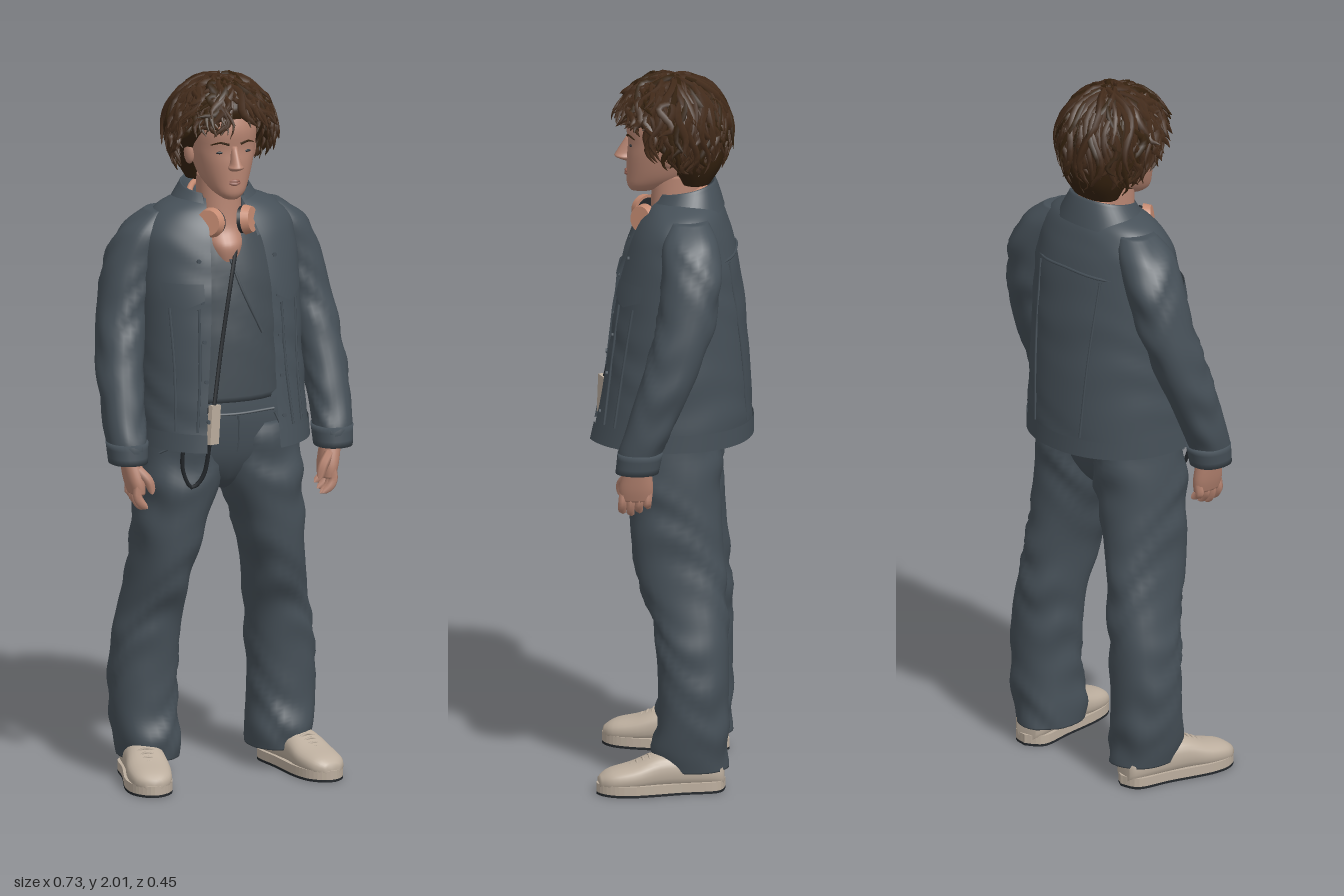
import * as THREE from 'three';

const mat = (name, color, side = THREE.FrontSide) => {
  const m = new THREE.MeshStandardMaterial({ color, side });
  m.name = name;
  return m;
};
const denim = mat('denim', 0x465058, THREE.DoubleSide), shirtGrey = mat('shirt grey', 0x434c53);
const dark = mat('dark rubber', 0x24282c), skin = mat('skin', 0xb78572), lip = mat('lip', 0x9c6658);
const hairLight = mat('hair brown', 0x432b1a), hairDark = mat('hair shadow brown', 0x35220f);
const cream = mat('canvas cream', 0xbcae9e), peach = mat('headphone peach', 0xc58b72);

const mesh = (name, geo, m, parent) => {
  const o = new THREE.Mesh(geo, m);
  o.name = name;
  parent.add(o);
  return o;
};
const V = (a) => new THREE.Vector3(...a);
const pw = (s, e) => Math.sign(s) * Math.abs(s) ** e;
let seed = 7;
const rnd = () => (seed = (seed * 16807) % 2147483647) / 2147483647;

// Smooth interpolation through rows of numbers, t from 0 to 1
function rowAt(rows, t) {
  const n = rows.length, s = t * (n - 1), i = Math.min(Math.floor(s), n - 2), f = s - i;
  const [a, b, c, d] = [rows[Math.max(i - 1, 0)], rows[i], rows[i + 1], rows[Math.min(i + 2, n - 1)]];
  return b.map((q, k) => q + 0.5 * f * (c[k] - a[k] + f * (2 * a[k] - 5 * q + 4 * c[k] - d[k] + f * (3 * (q - c[k]) + d[k] - a[k]))));
}

// Surface from a rule point(u, v); wrap joins the last column to the first
function grid(nu, nv, point, wrap) {
  const pos = [], idx = [], cols = wrap ? nu : nu + 1;
  for (let j = 0; j <= nv; j++) for (let i = 0; i < cols; i++) pos.push(...point(i / nu, j / nv, j));
  for (let j = 0; j < nv; j++) for (let i = 0; i < nu; i++) {
    const a = j * cols + i, b = j * cols + (i + 1) % cols;
    idx.push(a, b, b + cols, a, b + cols, a + cols);
  }
  const g = new THREE.BufferGeometry();
  g.setAttribute('position', new THREE.Float32BufferAttribute(pos, 3));
  g.setIndex(idx);
  g.computeVertexNormals();
  return g;
}

// Slanting cloth folds that come and go along a limb
const fold = (a, y, amp) => 1 + amp * Math.sin(y * 52 + 2 * a + 2 * Math.sin(3 * a + y * 9)) * (0.5 + 0.5 * Math.sin(y * 15 + a * 2));

// Closed body from rising rows [x, y, z, rx, rz]
const loft = (rows, { nu = 28, nv = 30, p = 2.2, amp = 0 } = {}) => grid(nu, nv, (u, v, j) => {
  const [x, y, z, rx, rz] = rowAt(rows, Math.min(Math.max((j - 1) / (nv - 2), 0), 1));
  const a = u * Math.PI * 2, k = j === 0 || j === nv ? 0 : fold(a, y, amp);
  return [x + k * rx * pw(Math.sin(a), 2 / p), y, z + k * rz * pw(Math.cos(a), 2 / p)];
}, true);

// Tube along points with a thickness rule
function strand(points, r, taper = () => 1, n = 10, sides = 6) {
  const curve = new THREE.CatmullRomCurve3(points.map(V));
  const g = new THREE.TubeGeometry(curve, n, r, sides), pos = g.attributes.position, v = new THREE.Vector3();
  for (let i = 0; i < pos.count; i++) {
    const t = Math.floor(i / (sides + 1)) / n, c = curve.getPointAt(t);
    v.fromBufferAttribute(pos, i).sub(c).multiplyScalar(taper(t)).add(c);
    pos.setXYZ(i, v.x, v.y, v.z);
  }
  return g;
}
const tip = (t) => Math.sqrt(Math.max(0.02, 1 - t ** 5));

// Open-fronted garment from rows [y, half width, back z, front z, left gap, right gap, front drop]
const P = 2.15;
const shell = (rows, nu, nv, amp = 0) => grid(nu, nv, (u, v) => {
  const [y, w, zb, zf, gl, gr, drop] = rowAt(rows, v);
  const edge = (g) => Math.asin(Math.min(1, g / w) ** (P / 2));
  const a = THREE.MathUtils.lerp(edge(gl), Math.PI * 2 - edge(gr), u), k = fold(a, y, amp);
  return [k * w * pw(Math.sin(a), 2 / P), y - drop * (Math.cos(a) + 1) / 2,
    (zf + zb) / 2 + k * (zf - zb) / 2 * pw(Math.cos(a), 2 / P)];
});
const jacketRows = [
  [0.98, 0.243, -0.217, 0.24, 0.1, 0.115, 0], [1.1, 0.238, -0.215, 0.215, 0.1, 0.105, 0],
  [1.25, 0.232, -0.205, 0.192, 0.1, 0.09, 0], [1.4, 0.23, -0.19, 0.168, 0.1, 0.08, 0],
  [1.52, 0.225, -0.168, 0.132, 0.09, 0.07, 0], [1.58, 0.21, -0.15, 0.105, 0.075, 0.065, 0],
  [1.625, 0.17, -0.132, 0.073, 0.06, 0.06, 0], [1.655, 0.1, -0.107, 0.04, 0.05, 0.05, 0]];

// Point on the jacket's front (side 1) or back (side -1)
function onJacket(x, y, side, off = 0.002) {
  let lo = 0, hi = 1;
  for (let i = 0; i < 24; i++) {
    const m = (lo + hi) / 2;
    if (rowAt(jacketRows, m)[0] < y) lo = m; else hi = m;
  }
  const [, w, zb, zf] = rowAt(jacketRows, lo);
  return [x, y, (zf + zb) / 2 + side * ((zf - zb) / 2 * (1 - Math.min(1, Math.abs(x) / w) ** P) ** (1 / P) + off)];
}
const seam = (pts, side, parent) => mesh('seam', strand(pts.map(([x, y]) => onJacket(x, y, side)), 0.004, undefined, 16, 5), denim, parent);

function buildJacket(root) {
  const g = new THREE.Group();
  g.name = 'jacket';
  root.add(g);
  mesh('jacketBody', shell(jacketRows, 80, 56, 0.01), denim, g);
  mesh('hemBand', shell([[0.975, 0.247, -0.222, 0.246, 0.1, 0.115, 0], [1.025, 0.245, -0.221, 0.235, 0.1, 0.112, 0]], 60, 2), denim, g);
  mesh('collar', shell([[1.615, 0.085, -0.085, 0.06, 0.05, 0.05, 0], [1.695, 0.093, -0.11, 0.045, 0.06, 0.06, 0.03],
    [1.685, 0.108, -0.122, 0.06, 0.062, 0.062, 0.045], [1.625, 0.155, -0.14, 0.12, 0.075, 0.075, 0.075]], 40, 12), denim, g);
  for (const s of [1, -1]) {
    const gap = s > 0 ? 0.1 : 0.085, x0 = gap + 0.015, x1 = 0.205;
    // Chest pocket flap with a pointed lower edge
    mesh('pocketFlap', grid(10, 4, (u, v) => onJacket(s * (x0 + (x1 - x0) * u),
      1.44 - (1 - v) * (0.045 + 0.025 * (1 - Math.abs(2 * u - 1))), 1, 0.009)), denim, g);
    seam([[s * (x0 + 0.015), 1.37], [s * (x0 + 0.02), 1.2], [s * (x0 + 0.035), 1.03]], 1, g);
    seam([[s * (x1 - 0.02), 1.37], [s * (x1 - 0.025), 1.2], [s * (x1 - 0.02), 1.03]], 1, g);
    seam([[s * 0.12, 1.49], [s * 0.105, 1.25], [s * 0.09, 1.03]], -1, g);
    for (let i = 0; i < 5; i++) {
      const b = mesh('button', new THREE.CylinderGeometry(0.006, 0.006, 0.006, 10).rotateX(Math.PI / 2), denim, g);
      b.position.set(...onJacket(s * (gap + 0.02), 1.5 - i * 0.11, 1, 0.003));
    }
  }
  seam([[-0.2, 1.49], [-0.1, 1.5], [0, 1.505], [0.1, 1.5], [0.2, 1.49]], -1, g);
}

// Sleeve, hand, trouser leg and shoe of the left side
function buildSide(name) {
  const g = new THREE.Group();
  g.name = name;
  mesh('sleeve', loft([[0.302, 0.95, 0.09, 0.05, 0.055], [0.303, 1.0, 0.083, 0.055, 0.06], [0.303, 1.1, 0.045, 0.059, 0.068],
    [0.293, 1.22, 0, 0.065, 0.076], [0.269, 1.35, -0.04, 0.07, 0.08], [0.238, 1.47, -0.056, 0.074, 0.083],
    [0.198, 1.56, -0.052, 0.071, 0.078], [0.15, 1.618, -0.048, 0.045, 0.05]], { nv: 54, amp: 0.065 }), denim, g);
  mesh('cuff', loft([[0.302, 0.937, 0.093, 0.053, 0.06], [0.302, 0.995, 0.084, 0.058, 0.063]], { nv: 5 }), denim, g);
  mesh('palm', loft([[0.28, 0.85, 0.098, 0.021, 0.044], [0.286, 0.89, 0.096, 0.027, 0.047], [0.298, 0.96, 0.09, 0.028, 0.034]], { nv: 12 }), skin, g);
  for (let i = 0; i < 4; i++) {
    const z = 0.062 + i * 0.023, d = [0.02, 0.008, 0, 0.006][i];
    mesh('finger', strand([[0.286, 0.875, z], [0.288, 0.845, z + 0.003], [0.278, 0.82 + d, z + 0.004], [0.258, 0.803 + d, z]], 0.0135, tip), skin, g);
  }
  mesh('thumb', strand([[0.282, 0.92, 0.122], [0.258, 0.89, 0.138], [0.246, 0.85, 0.138]], 0.0145, tip), skin, g);
  mesh('trouserLeg', loft([[0.19, 0.06, -0.055, 0.085, 0.1], [0.195, 0.12, -0.052, 0.092, 0.106], [0.204, 0.22, -0.06, 0.094, 0.098],
    [0.198, 0.38, -0.058, 0.093, 0.1], [0.184, 0.48, -0.05, 0.088, 0.106], [0.163, 0.62, -0.022, 0.085, 0.125],
    [0.135, 0.78, -0.008, 0.105, 0.128], [0.117, 0.88, -0.005, 0.118, 0.13], [0.11, 1.02, -0.01, 0.108, 0.128]], { nv: 70, amp: 0.05 }), denim, g);
  mesh('pocketSeam', strand([[0.12, 1.05, 0.122], [0.15, 0.99, 0.122], [0.205, 0.95, 0.08]], 0.003), denim, g);
  const shoe = new THREE.Group();
  shoe.name = 'shoe';
  shoe.position.set(0.23, 0, 0.028);
  shoe.rotation.y = 0.19;
  g.add(shoe);
  // Upper built heel to toe, then laid flat
  mesh('shoeUpper', loft([[0, -0.172, -0.045, 0.03, 0.035], [0, -0.15, -0.055, 0.048, 0.045], [0, -0.06, -0.062, 0.053, 0.05],
    [0, 0.01, -0.062, 0.056, 0.05], [0, 0.08, -0.048, 0.062, 0.037], [0, 0.145, -0.039, 0.052, 0.029], [0, 0.176, -0.032, 0.022, 0.016]],
  { nv: 24, p: 2.4 }).rotateX(Math.PI / 2), cream, shoe);
  const outline = new THREE.Shape(new THREE.SplineCurve([[0, -0.18], [0.05, -0.15], [0.054, -0.05], [0.066, 0.08], [0.048, 0.15], [0, 0.182],
    [-0.048, 0.15], [-0.064, 0.08], [-0.056, -0.05], [-0.05, -0.15], [0, -0.18]].map(([x, z]) => new THREE.Vector2(x, -z))).getPoints(50));
  const slab = (h, y) => new THREE.ExtrudeGeometry(outline, { depth: h, bevelEnabled: false }).rotateX(-Math.PI / 2).translate(0, y, 0);
  mesh('midsole', slab(0.025, 0.007), cream, shoe);
  mesh('outsole', slab(0.007, 0), dark, shoe);
  for (let i = 0; i < 4; i++) {
    const z = 0.035 + i * 0.017, y = 0.106 - i * 0.0085;
    mesh('lace', strand([[-0.028, y - 0.01, z], [0, y, z], [0.028, y - 0.01, z]], 0.004), cream, shoe);
  }
  return g;
}

function buildHead(root) {
  const g = new THREE.Group();
  g.name = 'head';
  root.add(g);
  mesh('neck', loft([[0, 1.45, 0.02, 0.03, 0.06], [0, 1.52, 0.025, 0.052, 0.072], [0, 1.58, 0, 0.06, 0.068],
    [0, 1.72, -0.005, 0.06, 0.066]]), skin, g);
  mesh('face', loft([[0, 1.667, 0.09, 0.022, 0.03], [0, 1.685, 0.07, 0.045, 0.06], [0, 1.72, 0.037, 0.066, 0.094],
    [0, 1.77, 0.022, 0.082, 0.109], [0, 1.81, 0.017, 0.09, 0.111], [0, 1.87, 0.012, 0.094, 0.12], [0, 1.94, 0, 0.08, 0.105],
    [0, 1.97, 0, 0.04, 0.06]], { nv: 36 }), skin, g);
  mesh('nose', loft([[0, 1.752, 0.128, 0.014, 0.013], [0, 1.762, 0.137, 0.022, 0.027], [0, 1.775, 0.134, 0.015, 0.026],
    [0, 1.82, 0.12, 0.009, 0.012]], { nu: 16, nv: 14, p: 2 }), skin, g);
  for (const [y, r] of [[1.722, 0.005], [1.714, 0.006]])
    mesh('lip', strand([[-0.027, 1.718, 0.117], [0, y, 0.132], [0.027, 1.718, 0.117]], r, (t) => 0.3 + 0.7 * Math.sin(t * Math.PI)), lip, g);
  for (const s of [1, -1]) {
    const eye = mesh('eye', new THREE.SphereGeometry(1, 12, 8).scale(0.013, 0.004, 0.004), dark, g);
    eye.position.set(s * 0.038, 1.803, 0.118);
    mesh('eyebrow', strand([[s * 0.016, 1.826, 0.128], [s * 0.04, 1.832, 0.123], [s * 0.063, 1.824, 0.106]], 0.004, (t) => 1 - 0.6 * t), hairDark, g);
    const ear = mesh('ear', new THREE.SphereGeometry(1, 12, 10).scale(0.012, 0.033, 0.02), skin, g);
    ear.position.set(s * 0.092, 1.785, 0.012);
    ear.rotation.y = s * -0.3;
  }
  // Hair: a cap under many tapered wavy locks with flicked ends
  mesh('hairCap', loft([[0, 1.695, -0.06, 0.075, 0.045], [0, 1.76, -0.06, 0.108, 0.08], [0, 1.85, -0.024, 0.13, 0.124],
    [0, 1.93, 0, 0.114, 0.128], [0, 1.975, 0, 0.045, 0.055]]), hairDark, g);
  const cy = 1.845, ry = 0.138;
  for (let i = 0; i < 400; i++) {
    const th = rnd() * Math.PI * 2 - Math.PI, f = Math.cos(th);
    const endY = (f > 0.5 ? 1.838 : f > 0.1 ? 1.765 : f > -0.4 ? 1.715 : 1.705) + rnd() * 0.09;
    const p1 = Math.acos(Math.max(-1, (endY - cy) / ry)), p0 = p1 * 0.65 * rnd(), out = 0.9 + rnd() * 0.11;
    const ph = rnd() * 6, flick = 0.18 * rnd(), wave = 0.008 + 0.012 * rnd(), pts = [];
    for (let k = 0; k <= 7; k++) {
      const t = k / 7, p = p0 + (p1 - p0) * t, q = Math.cos(p);
      const r = (q > 0 ? Math.sin(p) : 1 - 0.3 * q * q) * (out + flick * t ** 3);
      const a = th + Math.sign(th) * 0.25 * t * Math.max(f, 0), w = wave * Math.sin(ph + t * 8);
      pts.push([0.145 * r * Math.sin(a) + w * Math.cos(a), cy + ry * q * out + 0.01 + 0.4 * w * Math.cos(ph),
        0.003 + 0.156 * r * Math.cos(a) - w * Math.sin(a)]);
    }
    mesh('hairLock', strand(pts, 0.009 + 0.008 * rnd(), (t) => Math.max(0.06, (0.55 + t) * (1 - t ** 2.2)), 12, 5), i % 4 ? hairLight : hairDark, g);
  }
}

export function createModel() {
  const root = new THREE.Group();
  root.name = 'standingFigure';
  buildJacket(root);
  const left = buildSide('leftLimbs'), right = buildSide('rightLimbs');
  right.scale.x = -1;
  root.add(left, right);
  buildHead(root);

  // Shirt and trouser top
  mesh('shirt', loft([[0, 1.09, -0.02, 0.178, 0.152], [0, 1.25, -0.02, 0.172, 0.145], [0, 1.42, -0.03, 0.17, 0.133],
    [0, 1.53, -0.035, 0.13, 0.11], [0, 1.59, -0.03, 0.07, 0.075]], { amp: 0.02 }), shirtGrey, root);
  mesh('shirtFold', strand([[0, 1.49, 0.092], [0.03, 1.4, 0.111], [0.085, 1.28, 0.118]], 0.004), shirtGrey, root);
  mesh('trouserTop', loft([[0, 0.825, -0.01, 0.02, 0.05], [0, 0.86, -0.008, 0.08, 0.085], [0, 0.93, -0.006, 0.2, 0.116],
    [0, 1.03, -0.01, 0.208, 0.136], [0, 1.12, -0.015, 0.175, 0.14]]), denim, root);
  mesh('waistSeam', strand([[-0.12, 1.06, 0.116], [0, 1.055, 0.126], [0.12, 1.06, 0.116]], 0.004), denim, root);
  mesh('flySeam', strand([[0.012, 1.05, 0.127], [0.015, 0.97, 0.117], [0.006, 0.91, 0.1]], 0.003), denim, root);

  // Headphones resting round the neck
  const phones = new THREE.Group();
  phones.name = 'headphones';
  root.add(phones);
  mesh('headband', strand([[-0.066, 1.61, 0.07], [-0.085, 1.645, 0], [-0.05, 1.675, -0.07], [0, 1.68, -0.085],
    [0.05, 1.675, -0.07], [0.085, 1.645, 0], [0.066, 1.61, 0.07]], 0.009, undefined, 32, 8), peach, phones);
  for (const s of [1, -1]) for (const [n, r, h, off, m] of [['earCup', 0.042, 0.022, 0, peach], ['earCushion', 0.038, 0.014, -0.016, dark]]) {
    const c = mesh(n, new THREE.CylinderGeometry(r * 0.85, r, h, 24).translate(0, off, 0).rotateX(Math.PI / 2), m, phones);
    c.position.set(s * 0.058, 1.597, 0.085);
    c.rotation.set(-0.2, s * 0.85, 0);
  }

  // Lanyard with a tag and a hanging cord
  mesh('lanyardStrap', strand([[0.02, 1.52, 0.085], [-0.01, 1.42, 0.12], [-0.05, 1.25, 0.155], [-0.085, 1.1, 0.195]], 0.006, undefined, 20), dark, root);
  const tag = mesh('lanyardTag', new THREE.BoxGeometry(0.036, 0.11, 0.014), cream, root);
  tag.position.set(-0.088, 1.05, 0.2);
  tag.rotation.set(0, 0.5, -0.08);
  mesh('lanyardCord', strand([[-0.09, 1.1, 0.19], [-0.15, 1.02, 0.165], [-0.16, 0.92, 0.145], [-0.13, 0.86, 0.14],
    [-0.1, 0.89, 0.145], [-0.085, 1.0, 0.165]], 0.006, undefined, 30), dark, root);
  return root;
}
